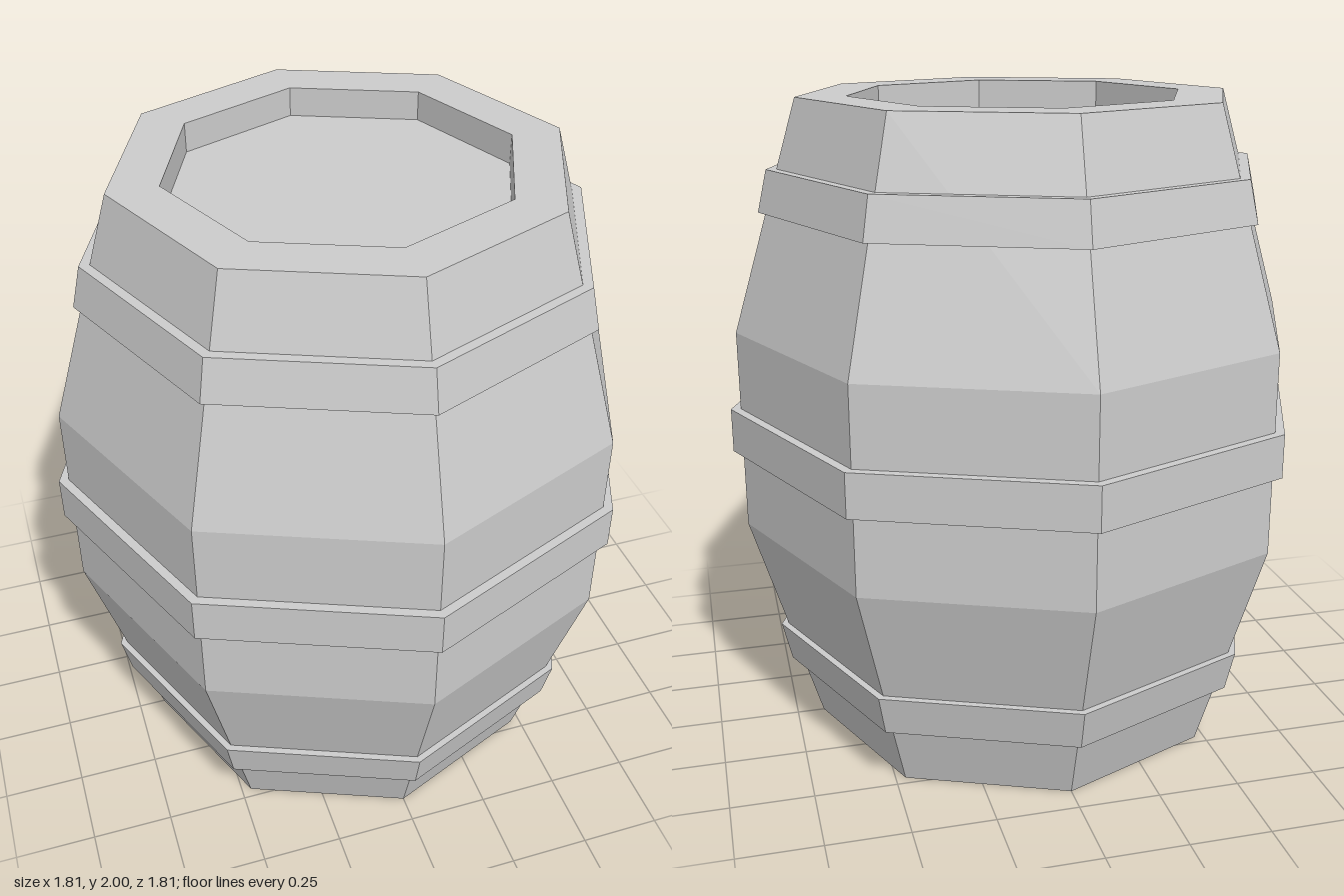
import * as THREE from 'three';

const SIDES = 8;
const HEIGHT = 2;
const RECESS = 0.09;

const wood = new THREE.MeshStandardMaterial({ color: 0xcccccc, flatShading: true });

// Octagonal solid of revolution from [radius, y] pairs, corners on the x and z axes
function turned(name, profile) {
  const points = profile.map(([r, y]) => new THREE.Vector2(r, y));
  const mesh = new THREE.Mesh(new THREE.LatheGeometry(points, SIDES), wood);
  mesh.name = name;
  return mesh;
}

// Closed band around the barrel, its inner face just inside the staves
function hoop(name, y0, y1, inner0, inner1, outer0, outer1) {
  return turned(name, [
    [inner0, y0], [outer0, y0], [outer1, y1], [inner1, y1], [inner0, y0],
  ]);
}

export function createModel() {
  const barrel = new THREE.Group();
  barrel.name = 'barrel';

  // Staves with a recessed lid at each end: lower half, then its mirror
  const lower = [[0, RECESS], [0.515, RECESS], [0.515, 0], [0.665, 0], [0.873, 0.69]];
  const upper = lower.map(([r, y]) => [r, HEIGHT - y]).reverse();
  barrel.add(turned('barrelBody', [...lower, ...upper]));

  // Hoops
  barrel.add(hoop('lowerHoop', 0.205, 0.33, 0.72, 0.757, 0.758, 0.787));
  barrel.add(hoop('middleHoop', 0.935, 1.07, 0.865, 0.865, 0.903, 0.903));
  barrel.add(hoop('upperHoop', 1.67, 1.795, 0.757, 0.72, 0.787, 0.758));

  return barrel;
}
